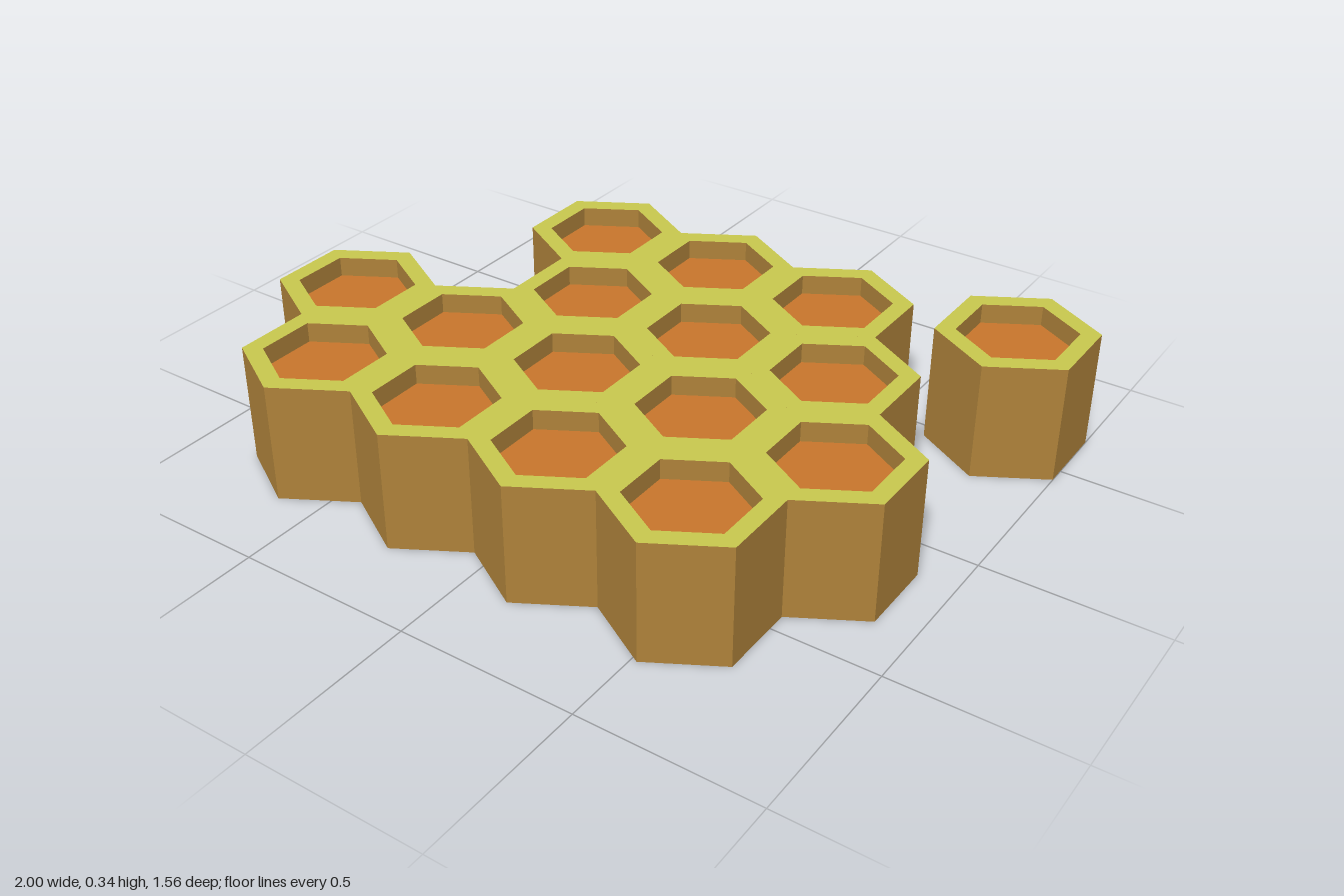
import * as THREE from 'three';

const R = 0.2188;      // outer corner radius of a cell
const r = 0.163;       // inner corner radius
const H = 0.338;       // cell height
const DEPTH = 0.056;   // recess depth
const PITCH = R * Math.sqrt(3);

// Six-sided surface swept from a short profile, with crisp facets
function hexSurface(profile) {
  const points = profile.map(([x, y]) => new THREE.Vector2(x, y));
  const geometry = new THREE.LatheGeometry(points, 6).toNonIndexed();
  geometry.computeVertexNormals();
  return geometry;
}

export function createModel() {
  const wax = new THREE.MeshStandardMaterial({ color: 0xae823a });
  wax.name = 'brown wax';
  const rim = new THREE.MeshStandardMaterial({ color: 0xc8c84e });
  rim.name = 'yellow green rim';
  const honey = new THREE.MeshStandardMaterial({ color: 0xc8762c });
  honey.name = 'orange honey';

  // Surfaces shared by every cell
  const parts = [
    ['outerWall', hexSurface([[0, 0], [R, 0], [R, H]]), wax],
    ['topRim', hexSurface([[R, H], [r, H]]), rim],
    ['innerWall', hexSurface([[r, H], [r, H - DEPTH]]), wax],
    ['honeyFloor', hexSurface([[r, H - DEPTH], [0, H - DEPTH]]), honey],
  ];

  const model = new THREE.Group();
  model.name = 'honeycomb';

  function addCell(name, x, z) {
    const cell = new THREE.Group();
    cell.name = name;
    for (const [partName, geometry, material] of parts) {
      const mesh = new THREE.Mesh(geometry, material);
      mesh.name = partName;
      cell.add(mesh);
    }
    cell.position.set(x, 0, z);
    model.add(cell);
  }

  // Joined rows from back to front: first cell x and number of cells
  const rows = [[-0.432, 3], [-0.2425, 3], [-0.811, 5], [-0.6215, 4]];
  rows.forEach(([startX, count], row) => {
    for (let i = 0; i < count; i++) {
      addCell(`combCell${row + 1}_${i + 1}`, startX + i * PITCH, -0.428 + row * 1.5 * R);
    }
  });

  // Single detached cell
  addCell('looseCell', 0.81, -0.561);

  return model;
}
